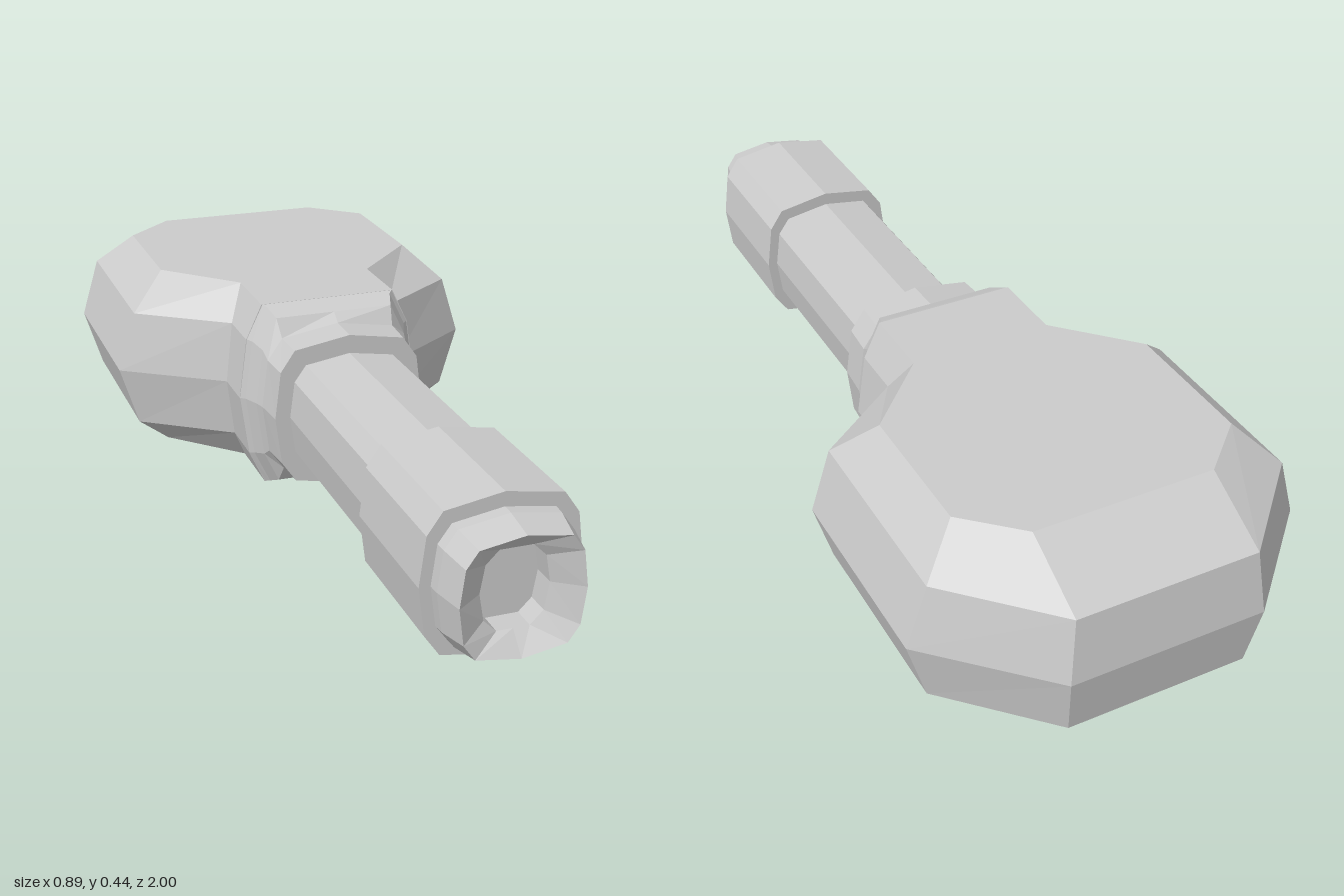
import * as THREE from 'three';

const MID = 0.2225;
const material = new THREE.MeshStandardMaterial({ color: 0xcccccc, flatShading: true });

// Skin a list of equal-length rings of [x, y, z], optionally closing the ends with fans
function loft(name, rings, capStart, capEnd) {
  const pos = [];
  const tri = (a, b, c) => pos.push(...a, ...b, ...c);
  const n = rings[0].length;
  for (let r = 0; r < rings.length - 1; r++) {
    const a = rings[r], b = rings[r + 1];
    for (let i = 0; i < n; i++) {
      const j = (i + 1) % n;
      tri(a[i], a[j], b[j]);
      tri(a[i], b[j], b[i]);
    }
  }
  const cap = (ring, flip) => {
    const c = [0, 1, 2].map(k => ring.reduce((s, p) => s + p[k], 0) / n);
    ring.forEach((p, i) => {
      const q = ring[(i + 1) % n];
      if (flip) tri(c, q, p); else tri(c, p, q);
    });
  };
  if (capStart) cap(rings[0], true);
  if (capEnd) cap(rings[rings.length - 1], false);
  const geo = new THREE.BufferGeometry();
  geo.setAttribute('position', new THREE.Float32BufferAttribute(pos, 3));
  geo.computeVertexNormals();
  const mesh = new THREE.Mesh(geo, material);
  mesh.name = name;
  return mesh;
}

// Twelve-sided section across z, mirrored from one quarter: side, shoulder, corner, top
function section(z, quarter) {
  const [s, a, b, t] = quarter;
  const half = [s, a, b, t, [-b[0], b[1]], [-a[0], a[1]]];
  return [...half, ...half.map(([x, y]) => [-x, -y])].map(([x, y]) => [x, MID + y, z]);
}

const ROUNDED = [[1, 0], [0.92, 0.61], [0.73, 0.88], [0, 1]];
const NECK = [[1, 0], [0.91, 0.64], [0.73, 1], [0, 1]];
const HOLE = [[1, 0], [0.86, 0.68], [0.48, 1], [0, 1]];
const ring = (z, w, h, form = ROUNDED) => section(z, form.map(([x, y]) => [x * w, y * h]));

// Horizontal outline of the head, given on its left side from neck to back
function outline(y, points) {
  const mirrored = points.map(([x, z]) => [-x, z]).reverse();
  return [...points, ...mirrored].map(([x, z]) => [x, y, z]);
}

export function createModel() {
  const model = new THREE.Group();
  model.name = 'tool';

  // Broad faceted head
  const middle = [[0.217, -0.07], [0.217, -0.18], [0.443, -0.335], [0.443, -0.78], [0.215, -1]];
  const shoulder = [[0.198, -0.07], [0.198, -0.19], [0.4, -0.335], [0.4, -0.78], [0.2, -0.978]];
  const flat = [[0.16, -0.07], [0.16, -0.24], [0.315, -0.4], [0.315, -0.71], [0.2, -0.815]];
  model.add(loft('head', [
    outline(0, flat), outline(0.082, shoulder), outline(MID, middle),
    outline(0.364, shoulder), outline(0.445, flat),
  ], true, true));

  // Stepped neck narrowing into the collar
  model.add(loft('neckCollar', [
    ring(-0.07, 0.216, 0.222, NECK),
    ring(-0.06, 0.205, 0.218, NECK),
    ring(-0.025, 0.19, 0.202, NECK),
    ring(0, 0.183, 0.183),
    ring(0.08, 0.177, 0.181),
    ring(0.08, 0.14, 0.135),
  ], false, false));

  // Straight shaft
  model.add(loft('shaft', [ring(0, 0.142, 0.138), ring(0.62, 0.142, 0.138)], false, false));

  // Sleeve with end faces
  model.add(loft('sleeve', [
    ring(0.595, 0.165, 0.168), ring(0.905, 0.165, 0.168),
  ], true, true));

  // Tapered tip with a funnel-shaped socket
  model.add(loft('tip', [
    ring(0.9, 0.142, 0.138),
    ring(0.93, 0.14, 0.137),
    ring(1, 0.126, 0.125),
    ring(0.96, 0.07, 0.083, HOLE),
    ring(0.91, 0.07, 0.083, HOLE),
  ], false, true));

  return model;
}
